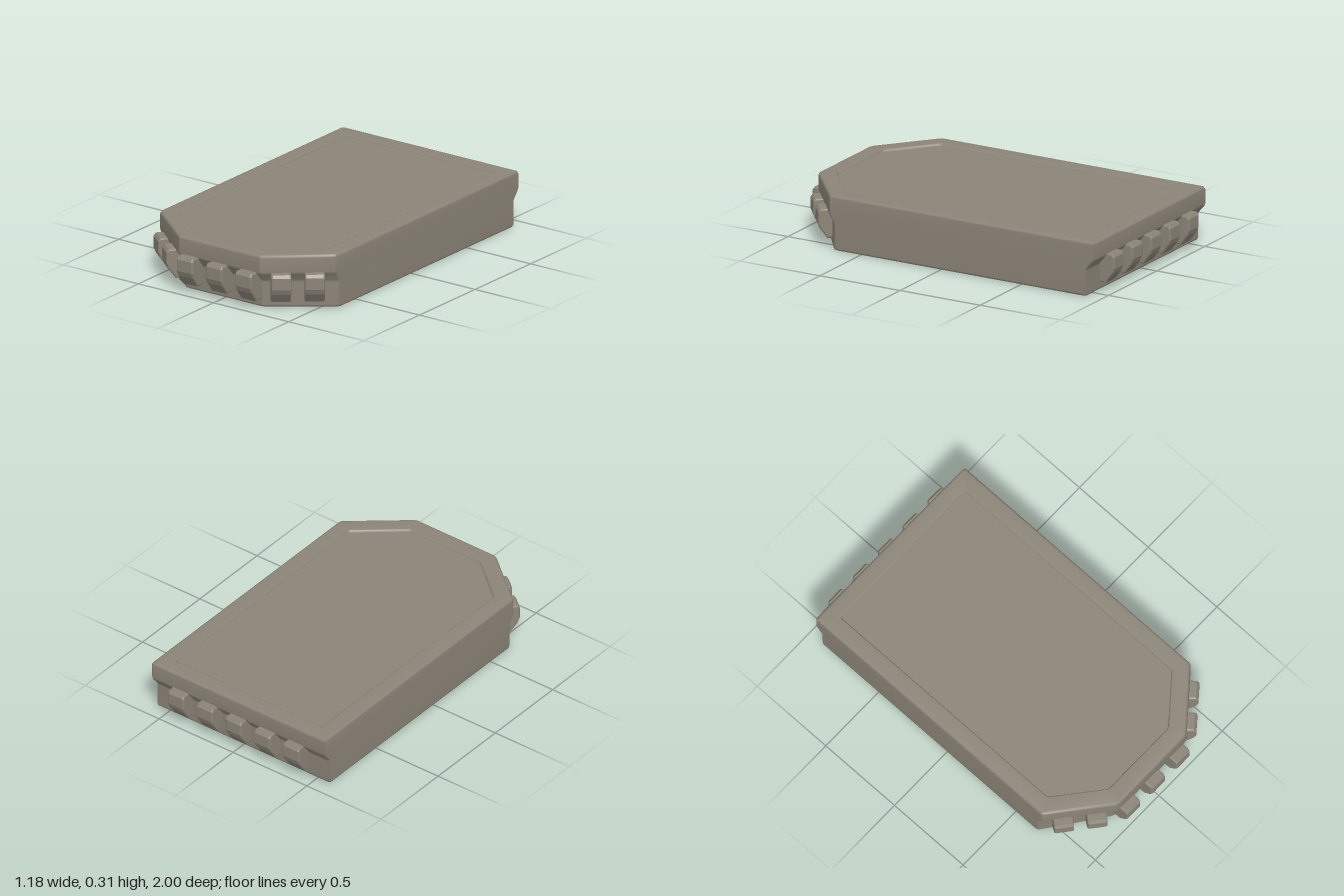
import * as THREE from 'three';

const stone = new THREE.MeshStandardMaterial({ color: 0x8b8478 });
stone.name = 'warm grey';

// Six-sided outline with softened corners; d insets every side, s only the two ends
function ring(y, d, s) {
  const w = 0.588 - d, back = -0.957 + d + s, front = 0.95 - d - s;
  const shoulder = 0.69 - 0.48 * d - 0.67 * s, nose = 0.27 - 0.35 * d - 0.44 * s;
  const corners = [[w, back], [w, shoulder], [nose, front], [-nose, front], [-w, shoulder], [-w, back]]
    .map(([x, z]) => new THREE.Vector3(x, y, z));
  const points = [];
  corners.forEach((p, i) => {
    for (const q of [corners[(i + 5) % 6], corners[(i + 1) % 6]]) {
      points.push(p.clone().add(q.clone().sub(p).setLength(0.01)));
    }
  });
  return points;
}

// Skin a stack of rings; the caps are optional
function loft(rings, bottomCap, topCap) {
  const n = rings[0].length, index = [];
  for (let r = 0; r < rings.length - 1; r++) {
    for (let i = 0; i < n; i++) {
      const a = r * n + i, b = r * n + (i + 1) % n;
      index.push(a, a + n, b, b, a + n, b + n);
    }
  }
  const t = (rings.length - 1) * n;
  for (let i = 1; i < n - 1; i++) {
    if (bottomCap) index.push(0, i, i + 1);
    if (topCap) index.push(t, t + i + 1, t + i);
  }
  const g = new THREE.BufferGeometry().setFromPoints(rings.flat());
  g.setIndex(index);
  g.computeVertexNormals();
  return g;
}

// Block with a sloped lower face; its outer face lies at local z = 0
function blockGeometry() {
  const s = new THREE.Shape([
    [-0.11, 0.045], [-0.052, 0.045], [-0.012, 0.1], [0, 0.13], [0, 0.195], [-0.012, 0.212], [-0.11, 0.212],
  ].map(([z, y]) => new THREE.Vector2(z, y)));
  const bevel = 0.009, width = 0.108;
  const g = new THREE.ExtrudeGeometry(s, {
    depth: width - 2 * bevel, bevelEnabled: true, bevelThickness: bevel,
    bevelSize: bevel, bevelOffset: -bevel, bevelSegments: 2,
  });
  g.translate(0, 0, -(width / 2 - bevel));
  g.rotateY(-Math.PI / 2);
  return g;
}

export function createModel() {
  const model = new THREE.Group();
  model.name = 'plinth';
  const add = (name, geometry) => {
    const mesh = new THREE.Mesh(geometry, stone);
    mesh.name = name;
    model.add(mesh);
    return mesh;
  };

  // Body with overhanging ends, raised rim and recess wall: height, inset, end inset
  const profile = [
    [0, 0.016, 0.045], [0.005, 0.005, 0.045], [0.016, 0, 0.045], [0.145, 0, 0.045],
    [0.16, 0, 0.04], [0.2, 0, 0.006], [0.215, 0, 0], [0.294, 0, 0],
    [0.305, 0.005, 0], [0.31, 0.016, 0], [0.31, 0.09, 0], [0.307, 0.096, 0], [0.298, 0.1, 0],
  ];
  add('body', loft(profile.map((p) => ring(...p)), true, false));

  // Sunken top panel
  add('topPanel', loft([ring(0.298, 0.1, 0)], false, true));

  // Blocks on the front, the back and the two angled corners
  const block = blockGeometry();
  const place = (name, x, z, turn) => {
    const mesh = add(name, block);
    mesh.position.set(x, 0, z);
    mesh.rotation.y = turn;
  };
  for (const i of [-1, 0, 1]) place('frontBlock', i * 0.195, 1, 0);
  for (const i of [-2, -1, 0, 1, 2]) place('backBlock', i * 0.195, -1, Math.PI);
  const slant = Math.atan2(0.26, 0.32);
  for (const side of [-1, 1]) {
    place('innerCornerBlock', side * 0.39, 0.917, side * slant);
    place('outerCornerBlock', side * 0.53, 0.803, side * slant);
  }
  return model;
}
